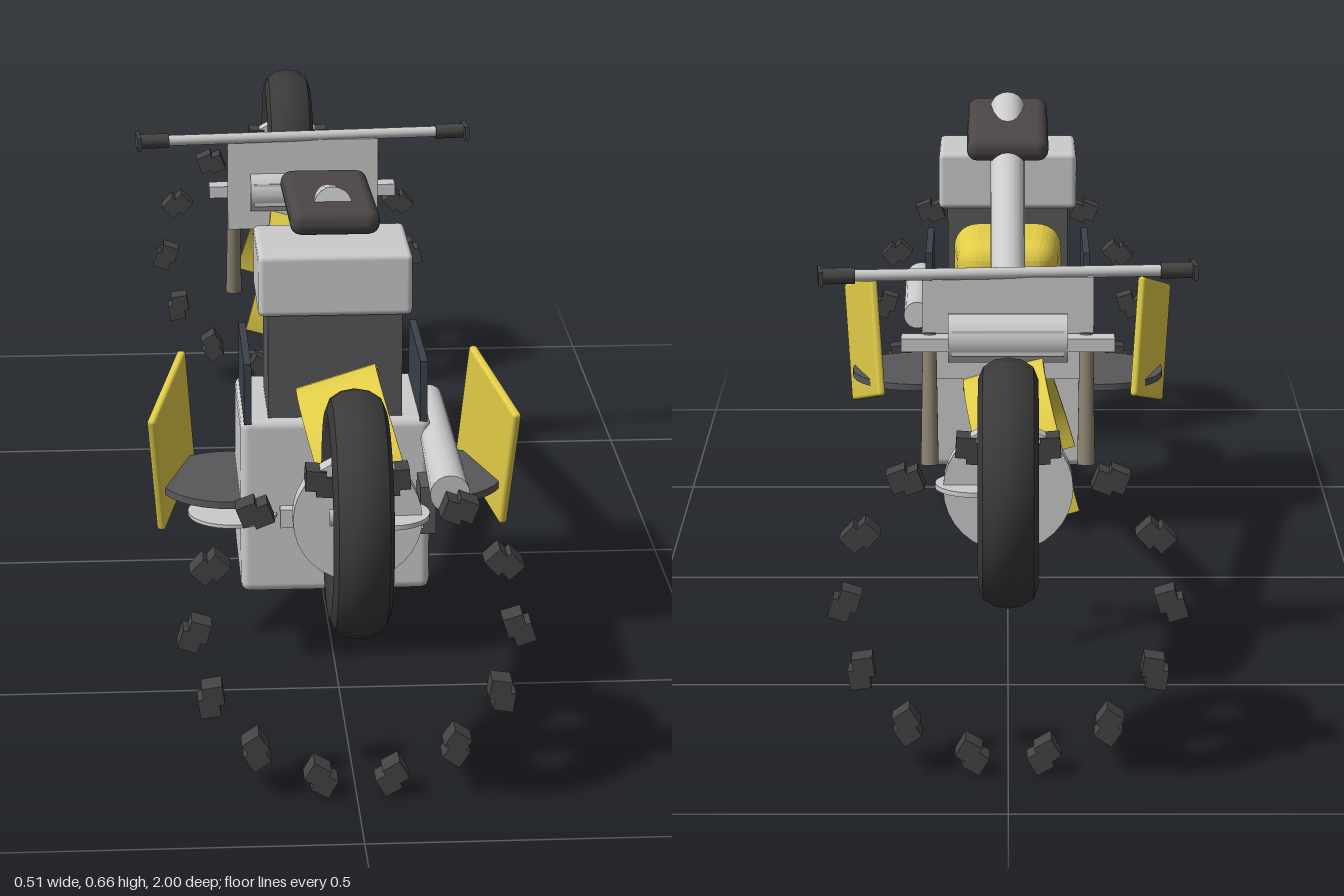
import * as THREE from 'three';
import { RoundedBoxGeometry } from 'three/addons/geometries/RoundedBoxGeometry.js';
import { toCreasedNormals } from 'three/addons/utils/BufferGeometryUtils.js';

const mat = (color, flatShading = false) =>
  new THREE.MeshStandardMaterial({ color, flatShading, side: THREE.DoubleSide });
const GREY = mat(0xcccccc);
const DARK = mat(0x444444);
const RUBBER = mat(0x3a3a3a);
const CHARCOAL = mat(0x58585a);
const SLATE = mat(0x3a424c);
const YELLOW = mat(0xe2cd48);
const SEAT = mat(0x4c4646);
const BRONZE = mat(0x8c8270);

export function createModel() {
  const model = new THREE.Group();
  model.name = 'motorbike';

  const add = (name, geometry, material, x = 0, y = 0, z = 0, parent = model) => {
    const mesh = new THREE.Mesh(geometry, material);
    mesh.name = name;
    mesh.position.set(x, y, z);
    parent.add(mesh);
    return mesh;
  };
  const box = (w, h, d) => new THREE.BoxGeometry(w, h, d);
  const rounded = (w, h, d, r) => new RoundedBoxGeometry(w, h, d, 2, r);
  const disc = (r, h, sides = 32) => new THREE.CylinderGeometry(r, r, h, sides);
  // Tapered rod between two points
  const rod = (name, a, b, rA, rB, material, parent = model) => {
    const from = new THREE.Vector3(...a), to = new THREE.Vector3(...b);
    const dir = to.clone().sub(from);
    const mesh = add(name, new THREE.CylinderGeometry(rB, rA, dir.length(), 20), material, 0, 0, 0, parent);
    mesh.position.copy(from).add(to).multiplyScalar(0.5);
    mesh.quaternion.setFromUnitVectors(new THREE.Vector3(0, 1, 0), dir.normalize());
    return mesh;
  };

  // Wheels: open tyre, crossed hub discs and a separate ring of tread blocks
  const tyreProfile = [
    [0.094, -0.024], [0.112, -0.034], [0.128, -0.037], [0.143, -0.031], [0.152, -0.017], [0.155, 0],
    [0.152, 0.017], [0.143, 0.031], [0.128, 0.037], [0.112, 0.034], [0.094, 0.024], [0.094, -0.024],
  ].map(([r, h]) => new THREE.Vector2(r, h));
  const tyreGeometry = toCreasedNormals(new THREE.LatheGeometry(tyreProfile, 32), 0.6);
  const treadBlock = box(0.025, 0.026, 0.035);
  for (const [name, z] of [['rearWheel', 0.845], ['frontWheel', -0.845]]) {
    const wheel = new THREE.Group();
    wheel.name = name;
    wheel.position.z = z;
    model.add(wheel);
    add('tyre', tyreGeometry, RUBBER, 0, 0.37, 0, wheel).rotation.z = Math.PI / 2;
    add('hubDisc', disc(0.08, 0.026), GREY, 0, 0.366, 0, wheel).rotation.x = Math.PI / 2;
    add('brakeDisc', disc(0.05, 0.006), GREY, 0.04, 0.368, 0, wheel);
    rod('axle', [-0.035, 0.37, 0], [0.035, 0.37, 0], 0.017, 0.017, GREY, wheel);
    for (let i = 0; i < 14; i++) {
      const knob = new THREE.Group();
      const angle = ((i + 0.5) / 14) * Math.PI * 2;
      knob.name = 'treadKnob';
      knob.position.set(0.203 * Math.sin(angle), 0.217 - 0.203 * Math.cos(angle), 0);
      knob.rotation.z = angle + (angle < Math.PI ? 0.3 : -0.3);
      wheel.add(knob);
      const s = angle < Math.PI ? 1 : -1;
      add('treadBlock', treadBlock, DARK, s * 0.007, 0.004, 0, knob);
      add('treadBlock', treadBlock, DARK, s * -0.007, -0.003, 0, knob);
    }
  }

  // Engine stack
  add('crankcase', rounded(0.256, 0.245, 0.208, 0.012), GREY, 0, 0.228, 0.321);
  add('cylinderBlock', box(0.18, 0.155, 0.145), CHARCOAL, 0, 0.425, 0.338);
  add('cylinderHead', rounded(0.206, 0.085, 0.16, 0.008), GREY, 0, 0.536, 0.34);
  for (const side of [-1, 1])
    add('coolingPlate', box(0.01, 0.085, 0.19), SLATE, side * 0.118, 0.389, 0.332);
  add('crankcaseBar', box(0.153, 0.026, 0.02), GREY, 0.001, 0.217, 0.432);
  add('sideBox', box(0.021, 0.066, 0.065), CHARCOAL, 0.12, 0.241, 0.453);
  add('clutchDisc', disc(0.061, 0.005), GREY, -0.138, 0.218, 0.41);
  rod('exhaust', [0.137, 0.31, 0.615], [0.137, 0.328, 0.27], 0.026, 0.02, GREY);

  // Tank, narrowed toward its outer ends
  const tankGeometry = new RoundedBoxGeometry(0.16, 0.105, 0.165, 4, 0.035);
  const p = tankGeometry.attributes.position;
  for (let i = 0; i < p.count; i++) {
    const k = 1 - 0.12 * Math.max(0, -p.getZ(i) / 0.08);
    p.setXYZ(i, p.getX(i) * k, p.getY(i) * k, p.getZ(i));
  }
  tankGeometry.computeVertexNormals();
  add('tank', tankGeometry, YELLOW, 0, 0.422, 0.195);

  // Saddle and frame tubes
  add('seat', rounded(0.12, 0.036, 0.282, 0.016), SEAT, 0, 0.613, 0.277).rotation.x = -0.06;
  rod('upperFrameTube', [0, 0.63, 0.362], [0, 0.448, -0.4], 0.026, 0.023, GREY);
  rod('lowerFrameTube', [0, 0.266, 0.2], [0, 0.448, -0.4], 0.025, 0.023, GREY);

  // Mudguards: thin half arches, tilted sideways
  const arch = new THREE.Shape();
  arch.absarc(0, 0, 0.168, 0, Math.PI, false);
  arch.absarc(0, 0, 0.162, Math.PI, 0, true);
  const archGeometry = new THREE.ExtrudeGeometry(arch, { depth: 0.11, bevelEnabled: false, curveSegments: 16 });
  archGeometry.translate(0, 0, -0.055).rotateY(Math.PI / 2);
  const guardGeometry = toCreasedNormals(archGeometry, 0.5);
  add('rearMudguard', guardGeometry, YELLOW, 0.045, 0.272, 0.512).rotation.z = 0.3;
  add('frontMudguard', guardGeometry, YELLOW, -0.04, 0.25, -0.432).rotation.z = -0.28;

  // Side panels and footboards
  for (const side of [-1, 1]) {
    const panel = add('sidePanel', rounded(0.012, 0.18, 0.18, 0.005), YELLOW, side * 0.218, 0.284, 0.3);
    panel.rotation.set(0.27, side * 0.27, 0, 'YXZ');
    add('footboard', disc(0.105, 0.01), CHARCOAL, side * 0.14, 0.23, 0.315).scale.x = 0.92;
  }
  rod('footLever', [0.06, 0.247, 0.22], [0.06, 0.247, 0.13], 0.006, 0.006, DARK);

  // Small thin stand below the frame
  const stand = new THREE.Group();
  stand.name = 'stand';
  stand.position.z = -0.01;
  model.add(stand);
  add('standLeg', box(0.009, 0.064, 0.001), DARK, 0.022, 0.099, 0, stand).rotation.z = -0.4;
  add('standStep', box(0.04, 0.01, 0.001), DARK, 0.016, 0.127, 0, stand);
  add('standStep', box(0.024, 0.008, 0.001), DARK, 0.01, 0.106, 0, stand);

  // Steering: fork yoke, headstock plate, fork legs and handlebar
  add('yoke', box(0.285, 0.018, 0.03), GREY, 0, 0.445, -0.41);
  add('yokeBlock', box(0.15, 0.035, 0.06), GREY, 0, 0.447, -0.395);
  add('headstockPlate', box(0.23, 0.14, 0.008), GREY, 0, 0.46, -0.385);
  rod('headstock', [-0.08, 0.448, -0.395], [0.08, 0.448, -0.395], 0.033, 0.033, GREY);
  const handlebar = new THREE.Group();
  handlebar.name = 'handlebar';
  handlebar.position.set(0, 0.535, -0.385);
  handlebar.rotation.y = 0.08;
  model.add(handlebar);
  rod('bar', [-0.25, 0, 0], [0.25, 0, 0], 0.008, 0.008, GREY, handlebar);
  for (const side of [-1, 1]) {
    rod('forkLeg', [side * 0.105, 0.455, -0.395], [side * 0.105, 0.28, -0.422], 0.009, 0.012, BRONZE);
    rod('grip', [side * 0.205, 0, 0], [side * 0.25, 0, 0], 0.011, 0.011, DARK, handlebar);
    add('gripEnd', box(0.006, 0.02, 0.045), DARK, side * 0.251, 0, 0, handlebar);
  }
  return model;
}
